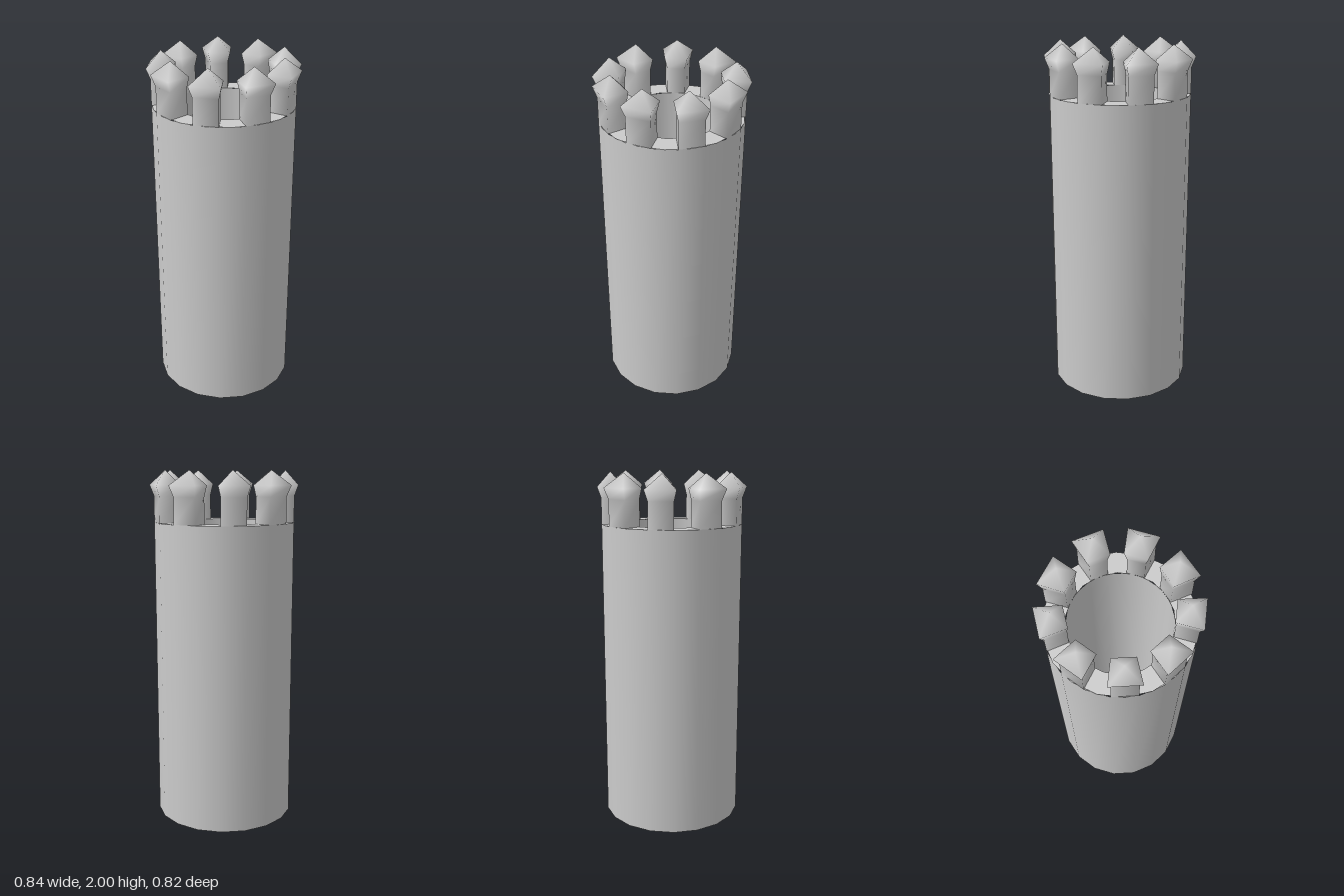
import * as THREE from 'three';

const SIDES = 18, OUTER = 0.396, INNER = 0.277, WALL_TOP = 1.715;
const START = Math.PI / SIDES; // puts a flat side at the front

// Four-sided merlon facing +z: straight shaft, flared head, pointed top
function merlonGeometry() {
  // y, outer half width, outer z, inner half width, inner z
  const levels = [
    [WALL_TOP, 0.069, 0.39, 0.048, 0.273],
    [1.86, 0.069, 0.39, 0.048, 0.273],
    [1.92, 0.085, 0.41, 0.062, 0.268],
  ];
  const pos = [], index = [];
  for (const [y, ow, oz, iw, iz] of levels) {
    pos.push(ow, y, oz, iw, y, iz, -iw, y, iz, -ow, y, oz);
  }
  pos.push(0, 2, 0.34);
  const apex = levels.length * 4;
  for (let i = 0; i < 4; i++) {
    const j = (i + 1) % 4;
    for (let l = 0; l < levels.length - 1; l++) {
      const a = l * 4 + i, b = l * 4 + j;
      index.push(a, b, b + 4, a, b + 4, a + 4);
    }
    index.push(apex - 4 + i, apex - 4 + j, apex);
  }
  const g = new THREE.BufferGeometry();
  g.setAttribute('position', new THREE.Float32BufferAttribute(pos, 3));
  g.setIndex(index);
  g.computeVertexNormals();
  return g;
}

export function createModel() {
  const group = new THREE.Group();
  const material = new THREE.MeshStandardMaterial({ color: 0xcccccc });
  const add = (name, geometry) => {
    const mesh = new THREE.Mesh(geometry, material);
    mesh.name = name;
    group.add(mesh);
    return mesh;
  };

  // Outer wall
  add('outerWall', new THREE.CylinderGeometry(OUTER, OUTER, WALL_TOP, SIDES, 1, true, START)
    .translate(0, WALL_TOP / 2, 0));

  // Inner wall, facing the axis (profile runs downward)
  add('innerWall', new THREE.LatheGeometry(
    [new THREE.Vector2(INNER, WALL_TOP), new THREE.Vector2(INNER, 0)], SIDES, START));

  // Walkway on top of the wall
  add('wallTop', new THREE.RingGeometry(INNER, OUTER, SIDES, 1, START)
    .rotateX(-Math.PI / 2).translate(0, WALL_TOP, 0));

  // Underside
  add('base', new THREE.CircleGeometry(OUTER, SIDES, START).rotateX(Math.PI / 2));

  // Nine merlons, one centred at the back
  const merlon = merlonGeometry();
  for (let i = 0; i < 9; i++) {
    add('merlon', merlon).rotation.y = Math.PI + i * Math.PI * 2 / 9;
  }
  return group;
}
